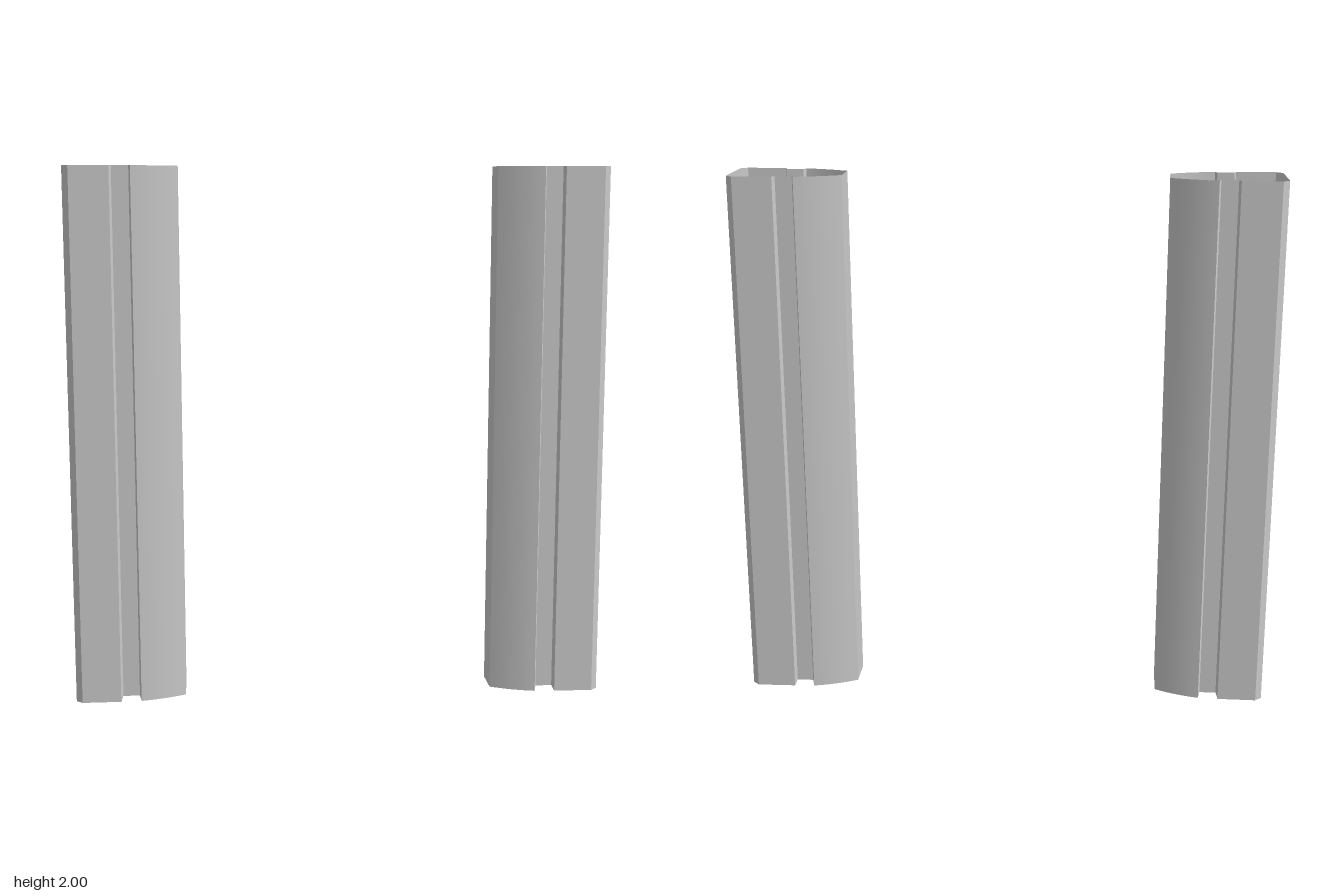
import * as THREE from 'three';
import { toCreasedNormals } from 'three/addons/utils/BufferGeometryUtils.js';

const HEIGHT = 2;
const NOTCH = 0.015; // the groove floor stops this far above the ground

// Closed outline of one post as [x, z, bottomY], running round it with the outside on the right
function outline(side) {
  // Front half, from the inner edge to the outer edge
  const bulge = new THREE.QuadraticBezierCurve(
    new THREE.Vector2(0.59, 0.062),
    new THREE.Vector2(0.672, 0.108),
    new THREE.Vector2(0.755, 0.124)
  );
  const front = bulge.getPoints(8).map((p) => [p.x, p.y, 0]);
  front.push(
    [0.762, 0.105, NOTCH], // groove
    [0.824, 0.105, NOTCH],
    [0.831, 0.128, 0],
    [0.976, 0.13, 0], // outer chamfer
    [1, 0.108, 0]
  );
  const back = front.map(([x, z, y]) => [x, -z, y]).reverse();
  const points = [...front, ...back].map(([x, z, y]) => [x * side, z, y]);
  return side > 0 ? points : points.reverse();
}

// Thin open-ended wall raised from the outline
function postGeometry(side) {
  const points = outline(side);
  const positions = [];
  points.forEach(([ax, az, ay], i) => {
    const [bx, bz, by] = points[(i + 1) % points.length];
    positions.push(ax, ay, az, bx, by, bz, bx, HEIGHT, bz);
    positions.push(ax, ay, az, bx, HEIGHT, bz, ax, HEIGHT, az);
  });
  const geometry = new THREE.BufferGeometry();
  geometry.setAttribute('position', new THREE.Float32BufferAttribute(positions, 3));
  return toCreasedNormals(geometry, 0.2);
}

export function createModel() {
  const group = new THREE.Group();
  group.name = 'pairOfPosts';
  const material = new THREE.MeshStandardMaterial({ color: 0xcccccc, side: THREE.DoubleSide });
  for (const [name, side] of [['leftPost', 1], ['rightPost', -1]]) {
    const post = new THREE.Mesh(postGeometry(side), material);
    post.name = name;
    group.add(post);
  }
  return group;
}
